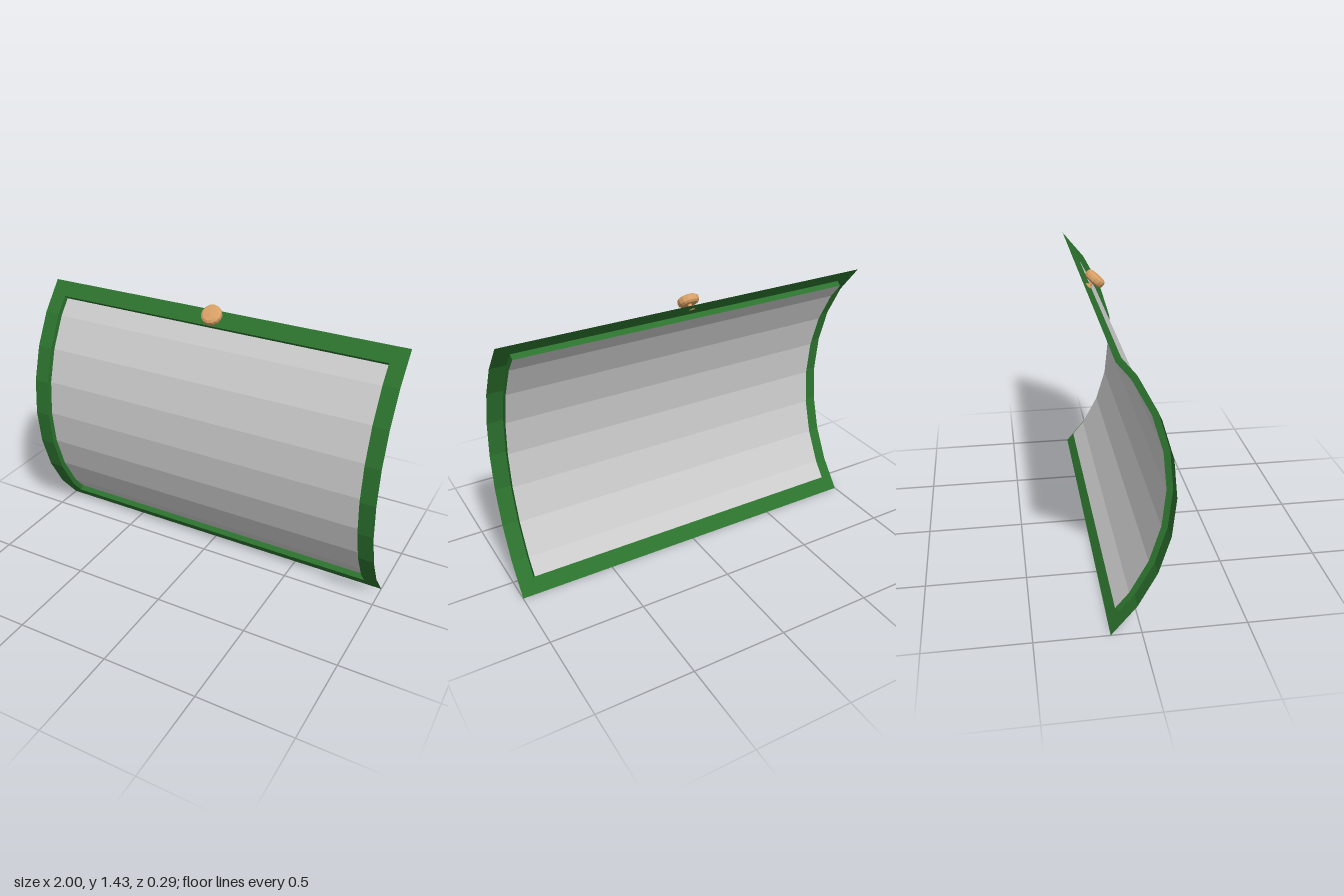
import * as THREE from 'three';

const R = 0.983, DEPTH = 0.03, SEGMENTS = 8;   // quarter-circle arc of eight flat bands
const MID_Y = 0.695, CENTER_Z = -0.84;
const HALF_W = 1, WIN_W = 0.917, WIN_T = 0.45; // window edges, across and along the arc

const green = new THREE.MeshStandardMaterial({ color: 0x2c722e, side: THREE.DoubleSide, flatShading: true });
const grey = new THREE.MeshStandardMaterial({ color: 0xcccccc, side: THREE.DoubleSide, flatShading: true });
const tan = new THREE.MeshStandardMaterial({ color: 0xd9a066, flatShading: true });

// Point on the faceted arc, t = 0 (bottom) to 8 (top)
function arcPoint(x, radius, t) {
  const corner = (i) => {
    const a = (i / SEGMENTS - 0.5) * Math.PI / 2;
    return new THREE.Vector3(x, MID_Y + radius * Math.sin(a), CENTER_Z + radius * Math.cos(a));
  };
  const i = Math.min(Math.floor(t), SEGMENTS - 1);
  return corner(i).lerp(corner(i + 1), t - i);
}

// Arc parameters from t0 to t1, including every bend between them
function stops(t0, t1) {
  const list = [t0];
  for (let i = Math.floor(t0) + 1; i < t1; i++) list.push(i);
  return [...list, t1];
}

// Ribbon of flat quads between two edges of equal length
function ribbon(name, material, edgeA, edgeB) {
  const pos = [];
  for (let i = 0; i < edgeA.length - 1; i++) {
    const [a, b, c, d] = [edgeA[i], edgeB[i], edgeB[i + 1], edgeA[i + 1]];
    for (const p of [a, b, c, a, c, d]) pos.push(p.x, p.y, p.z);
  }
  const g = new THREE.BufferGeometry();
  g.setAttribute('position', new THREE.Float32BufferAttribute(pos, 3));
  g.computeVertexNormals();
  const mesh = new THREE.Mesh(g, material);
  mesh.name = name;
  return mesh;
}

const edge = (x, radius, t0, t1) => stops(t0, t1).map((t) => arcPoint(x, radius, t));

export function createModel() {
  const model = new THREE.Group();
  model.name = 'curvedPanel';
  const inner = R - DEPTH, t0 = WIN_T, t1 = SEGMENTS - WIN_T;

  // Thin frame around the window
  const frame = new THREE.Group();
  frame.name = 'frame';
  frame.add(
    ribbon('leftRail', green, edge(WIN_W, R, 0, SEGMENTS), edge(HALF_W, R, 0, SEGMENTS)),
    ribbon('rightRail', green, edge(-HALF_W, R, 0, SEGMENTS), edge(-WIN_W, R, 0, SEGMENTS)),
    ribbon('bottomRail', green, edge(-WIN_W, R, 0, t0), edge(WIN_W, R, 0, t0)),
    ribbon('topRail', green, edge(-WIN_W, R, t1, SEGMENTS), edge(WIN_W, R, t1, SEGMENTS)),
  );

  // Walls running back from the window opening
  frame.add(
    ribbon('leftWall', green, edge(WIN_W, inner, t0, t1), edge(WIN_W, R, t0, t1)),
    ribbon('rightWall', green, edge(-WIN_W, R, t0, t1), edge(-WIN_W, inner, t0, t1)),
  );
  const cross = (radius, t) => [arcPoint(-WIN_W, radius, t), arcPoint(WIN_W, radius, t)];
  frame.add(
    ribbon('bottomWall', green, cross(inner, t0), cross(R, t0)),
    ribbon('topWall', green, cross(R, t1), cross(inner, t1)),
  );
  model.add(frame);

  // Recessed curved pane
  model.add(ribbon('pane', grey, edge(-WIN_W, inner, t0, t1), edge(WIN_W, inner, t0, t1)));

  // Knob with stem on the top rail, tilted out from the frame
  const profile = [
    [0, -0.052], [0.018, -0.052], [0.018, -0.046], [0.01, -0.042], [0.01, -0.02],
    [0.042, -0.022], [0.053, -0.013], [0.055, 0], [0.053, 0.012], [0.042, 0.02], [0, 0.024],
  ].map(([r, y]) => new THREE.Vector2(r, y));
  const knob = new THREE.Mesh(new THREE.LatheGeometry(profile, 14), tan);
  knob.name = 'knob';
  knob.position.set(0, 1.39, -0.078);
  knob.rotation.x = THREE.MathUtils.degToRad(41);
  model.add(knob);

  return model;
}
